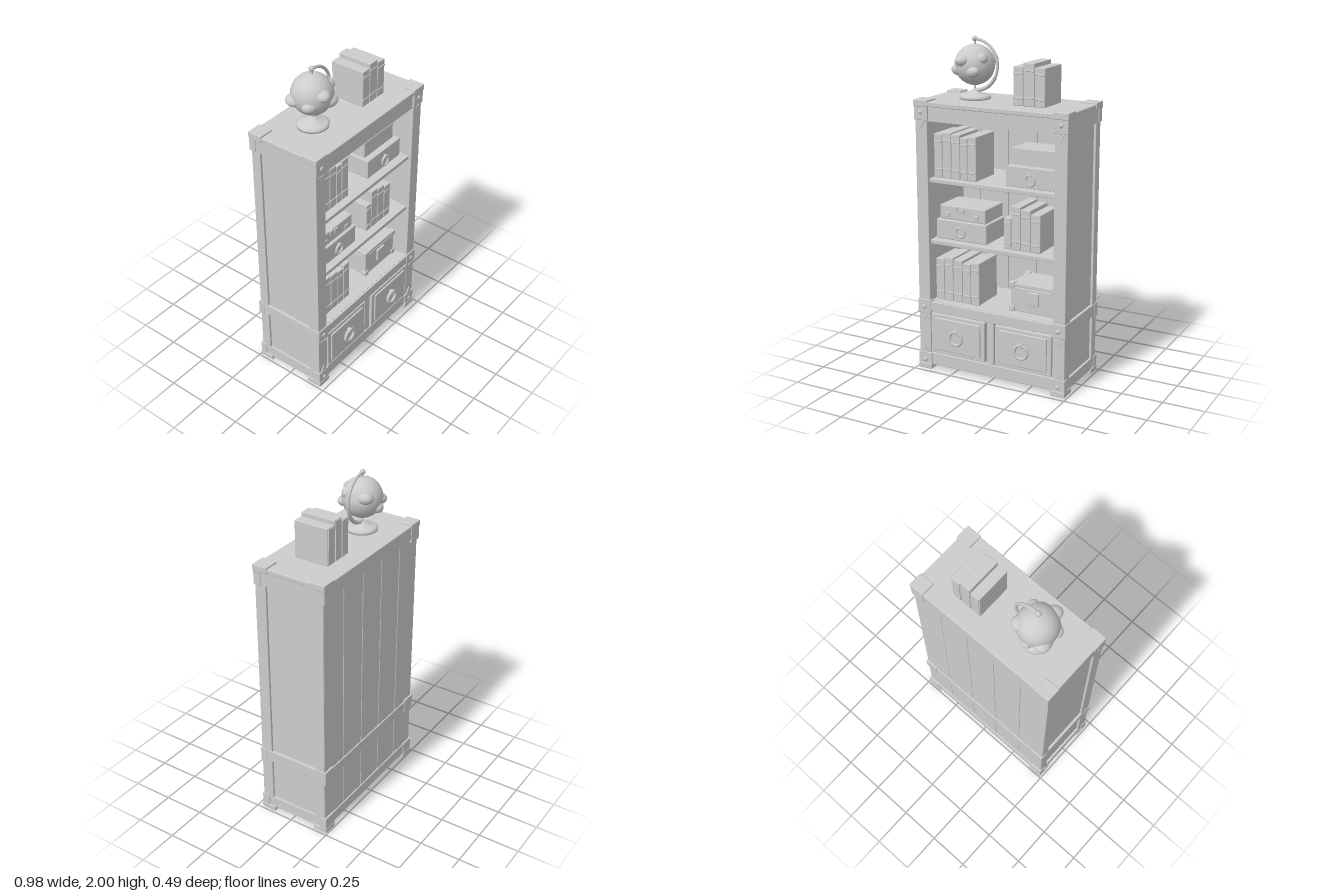
import * as THREE from 'three';
import { RoundedBoxGeometry } from 'three/addons/geometries/RoundedBoxGeometry.js';

const grey = new THREE.MeshStandardMaterial({ color: 0xcccccc });
grey.name = 'plain grey';

function add(parent, name, geometry, x = 0, y = 0, z = 0) {
  const mesh = new THREE.Mesh(geometry, grey);
  mesh.name = name;
  mesh.position.set(x, y, z);
  parent.add(mesh);
  return mesh;
}

function group(parent, name) {
  const g = new THREE.Group();
  g.name = name;
  parent.add(g);
  return g;
}

// Box given by its limits, with softened edges when r > 0
function box(parent, name, x0, x1, y0, y1, z0, z1, r = 0) {
  const w = x1 - x0, h = y1 - y0, d = z1 - z0;
  const geometry = r ? new RoundedBoxGeometry(w, h, d, 2, r) : new THREE.BoxGeometry(w, h, d);
  return add(parent, name, geometry, (x0 + x1) / 2, (y0 + y1) / 2, (z0 + z1) / 2);
}

// Ring pull on a round back plate
function ringPull(parent, x, y, z, r) {
  const g = group(parent, 'ringPull');
  add(g, 'pullPlate', new THREE.CylinderGeometry(r * 0.7, r * 0.7, 0.008, 24), x, y, z + 0.002).rotation.x = Math.PI / 2;
  add(g, 'ring', new THREE.TorusGeometry(r * 0.82, r * 0.18, 8, 28), x, y, z + r * 0.28);
  box(g, 'ringHolder', x - r * 0.22, x + r * 0.22, y + r * 0.6, y + r * 1.05, z, z + r * 0.52, 0.003);
}

// Book with a narrower page block and raised bands on the spine
function book(parent, x0, x1, y0, y1, z0, z1) {
  const g = group(parent, 'book');
  box(g, 'cover', x0 + 0.001, x1 - 0.001, y0, y1, z0 + 0.004, z1 - 0.004, 0.004);
  box(g, 'pages', x0 + 0.007, x1 - 0.007, y0 + 0.005, y1 - 0.005, z0, z0 + 0.02);
  const h = y1 - y0;
  for (const t of [0.17, 0.8]) {
    box(g, 'spineBand', x0 + 0.002, x1 - 0.002, y0 + h * t, y0 + h * t + 0.012, z1 - 0.03, z1, 0.003);
  }
}

function bookRow(parent, edges, y0, tops, z0, z1) {
  const row = group(parent, 'bookRow');
  tops.forEach((top, i) => book(row, edges[i], edges[i + 1], y0, top, z0, z1));
}

function triangle(parent, x, y, dir) {
  const s = new THREE.Shape();
  s.moveTo(x - 0.022, y);
  s.lineTo(x + 0.022, y);
  s.lineTo(x, y + dir * 0.042);
  s.closePath();
  add(parent, 'trianglePlate', new THREE.ExtrudeGeometry(s, { depth: 0.008, bevelEnabled: false }), 0, 0, 0.208);
}

function buildCabinet(root) {
  const g = group(root, 'cabinet');
  box(g, 'topBoard', -0.485, 0.485, 1.61, 1.638, -0.241, 0.217, 0.005);
  box(g, 'topRail', -0.42, 0.42, 1.525, 1.612, 0.15, 0.205);
  box(g, 'middleRail', -0.42, 0.42, 0.37, 0.432, 0.15, 0.212, 0.003);
  box(g, 'bottomRail', -0.42, 0.42, 0.03, 0.105, 0.15, 0.21, 0.003);
  box(g, 'drawerDivider', -0.022, 0.022, 0.1, 0.375, 0.14, 0.205);
  box(g, 'cupboardFloor', -0.46, 0.46, 0.095, 0.112, -0.225, 0.19);
  box(g, 'drawerTop', -0.45, 0.45, 0.4, 0.434, -0.225, 0.2);
  box(g, 'lowerShelf', -0.42, 0.42, 0.79, 0.815, -0.215, 0.19, 0.003);
  box(g, 'upperShelf', -0.42, 0.42, 1.162, 1.186, -0.215, 0.19, 0.003);

  // Five back planks and three back rails
  const w = 0.96 / 5;
  for (let i = 0; i < 5; i++) {
    const x = -0.48 + i * w;
    box(g, 'backPlank', x + 0.001, x + w - 0.001, 0.09, 1.615, -0.232, -0.205, 0.004);
  }
  box(g, 'backTopRail', -0.47, 0.47, 1.555, 1.615, -0.239, -0.2, 0.003);
  box(g, 'backMiddleRail', -0.47, 0.47, 0.37, 0.432, -0.239, -0.2, 0.003);
  box(g, 'backBottomRail', -0.47, 0.47, 0.03, 0.1, -0.239, -0.2, 0.003);

  for (const side of [-1, 1]) {
    const sideBox = (name, a, b, ...rest) =>
      box(g, name, Math.min(side * a, side * b), Math.max(side * a, side * b), ...rest);
    sideBox('sidePanel', 0.41, 0.468, 0.09, 1.615, -0.21, 0.19);
    sideBox('frontPost', 0.405, 0.482, 0.02, 1.615, 0.14, 0.21, 0.003);
    sideBox('backPost', 0.42, 0.482, 0.02, 1.615, -0.231, -0.172, 0.003);
    sideBox('sideTopRail', 0.42, 0.482, 1.53, 1.615, -0.2, 0.17);
    sideBox('sideMiddleRail', 0.42, 0.484, 0.365, 0.438, -0.22, 0.2, 0.003);
    sideBox('sideBottomRail', 0.42, 0.482, 0.03, 0.097, -0.22, 0.2);

    // Corner fittings at top, middle and foot
    for (const [z0, z1] of [[0.125, 0.22], [-0.245, -0.155]]) {
      sideBox('topCorner', 0.395, 0.49, 1.608, 1.648, z0, z1, 0.005);
      sideBox('foot', 0.398, 0.488, 0, 0.034, z0, z1, 0.005);
    }
    for (const [y0, y1] of [[1.53, 1.625], [0.355, 0.442], [0.012, 0.105]]) {
      sideBox('frontCornerPlate', 0.398, 0.487, y0, y1, 0.17, 0.217, 0.004);
      sideBox('backCornerPlate', 0.4, 0.487, y0, y1, -0.243, -0.2, 0.004);
      const bolt = add(g, 'bolt', new THREE.SphereGeometry(0.014, 14, 8), side * 0.443, (y0 + y1) / 2, 0.217);
      bolt.scale.z = 0.6;
    }
    triangle(g, side * 0.443, 1.527, -1);
    triangle(g, side * 0.443, 0.35, -1);
    triangle(g, side * 0.443, 0.105, 1);
  }
}

function buildDrawers(root) {
  for (const side of [-1, 1]) {
    const g = group(root, side < 0 ? 'rightDrawer' : 'leftDrawer');
    const x = side * 0.217;
    box(g, 'drawerFront', x - 0.182, x + 0.182, 0.113, 0.362, 0.15, 0.213, 0.004);
    box(g, 'drawerPanel', x - 0.155, x + 0.155, 0.135, 0.342, 0.17, 0.222, 0.005);
    ringPull(g, x, 0.237, 0.222, 0.05);
  }
}

function buildBoxes(root) {
  // Drawer box with a second box on it
  const a = group(root, 'upperBox');
  box(a, 'boxBase', 0.07, 0.385, 1.186, 1.305, -0.09, 0.14, 0.004);
  box(a, 'boxTop', 0.09, 0.365, 1.3, 1.402, -0.08, 0.1, 0.003);
  ringPull(a, 0.227, 1.236, 0.14, 0.036);

  // Two stacked cases with studs
  const b = group(root, 'middleBox');
  box(b, 'boxBase', -0.388, -0.053, 0.818, 0.937, -0.09, 0.15, 0.006);
  box(b, 'boxTop', -0.372, -0.068, 0.937, 1.022, -0.08, 0.135, 0.006);
  ringPull(b, -0.22, 0.873, 0.15, 0.036);
  for (const [x, y] of [[-0.318, 0.968], [-0.263, 1.007], [-0.222, 0.998], [-0.127, 0.966]]) {
    box(b, 'stud', x - 0.015, x + 0.015, y - 0.014, y + 0.014, 0.12, 0.142, 0.003);
  }

  // Chest with corner caps and a lock
  const c = group(root, 'chest');
  box(c, 'chestBody', 0.092, 0.382, 0.436, 0.582, -0.1, 0.12, 0.004);
  box(c, 'chestLid', 0.09, 0.384, 0.586, 0.607, -0.102, 0.122, 0.004);
  box(c, 'lidSeam', 0.1, 0.374, 0.57, 0.6, -0.09, 0.11);
  box(c, 'lock', 0.203, 0.275, 0.485, 0.568, 0.1, 0.132, 0.005);
  for (const x of [0.1, 0.374]) for (const y of [0.45, 0.597]) for (const z of [-0.09, 0.11]) {
    box(c, 'chestCorner', x - 0.018, x + 0.018, y - 0.017, y + 0.017, z - 0.018, z + 0.018, 0.005);
  }
}

function buildGlobe(root) {
  const g = group(root, 'globe');
  g.position.set(-0.217, 1.835, -0.022);
  add(g, 'ball', new THREE.SphereGeometry(0.118, 20, 14));

  // Raised land masses: direction, width, height
  const lands = [
    [-0.028, 0.032, 0.1, 0.05, 0.042], [0.038, -0.035, 0.1, 0.036, 0.05],
    [0.085, 0.045, 0.055, 0.036, 0.032], [-0.085, -0.025, -0.06, 0.05, 0.048],
    [0.075, 0.03, -0.07, 0.045, 0.042], [-0.09, -0.03, 0.055, 0.036, 0.045],
    [-0.01, -0.05, -0.1, 0.04, 0.035],
  ];
  for (const [x, y, z, w, h] of lands) {
    const p = new THREE.Vector3(x, y, z).setLength(0.1);
    const land = add(g, 'landMass', new THREE.SphereGeometry(1, 16, 10), p.x, p.y, p.z);
    land.scale.set(w, h, 0.034);
    land.lookAt(p.clone().multiplyScalar(2));
  }

  // Half-round arm, with its thicker lower holder
  const arm = add(g, 'arm', new THREE.TorusGeometry(0.147, 0.009, 8, 32, Math.PI));
  arm.rotation.z = -Math.PI / 2;
  const holder = add(g, 'armHolder', new THREE.TorusGeometry(0.147, 0.012, 8, 18, Math.PI * 0.36));
  holder.rotation.z = -Math.PI / 2;
  add(g, 'topKnob', new THREE.SphereGeometry(0.016, 14, 10), 0, 0.148, 0);
  add(g, 'axle', new THREE.CylinderGeometry(0.006, 0.006, 0.29, 8));
  const profile = [[0, -0.198], [0.09, -0.198], [0.092, -0.183], [0.08, -0.175], [0.035, -0.165], [0.02, -0.145], [0, -0.143]];
  add(g, 'stand', new THREE.LatheGeometry(profile.map(([x, y]) => new THREE.Vector2(x, y)), 28));
}

export function createModel() {
  const root = new THREE.Group();
  root.name = 'bookcase';
  buildCabinet(root);
  buildDrawers(root);
  buildBoxes(root);
  buildGlobe(root);
  bookRow(root, [-0.4, -0.345, -0.285, -0.227, -0.178, -0.12], 1.186, [1.445, 1.457, 1.45, 1.435, 1.447], -0.08, 0.15);
  bookRow(root, [0.058, 0.105, 0.167, 0.23, 0.292], 0.815, [1.0, 1.073, 1.06, 1.04], -0.08, 0.15);
  bookRow(root, [-0.4, -0.342, -0.282, -0.218, -0.162, -0.105], 0.434, [0.69, 0.703, 0.695, 0.682, 0.695], -0.08, 0.15);
  bookRow(root, [0.085, 0.149, 0.219, 0.284], 1.638, [1.857, 1.88, 1.857], -0.13, 0.09);
  return root;
}
